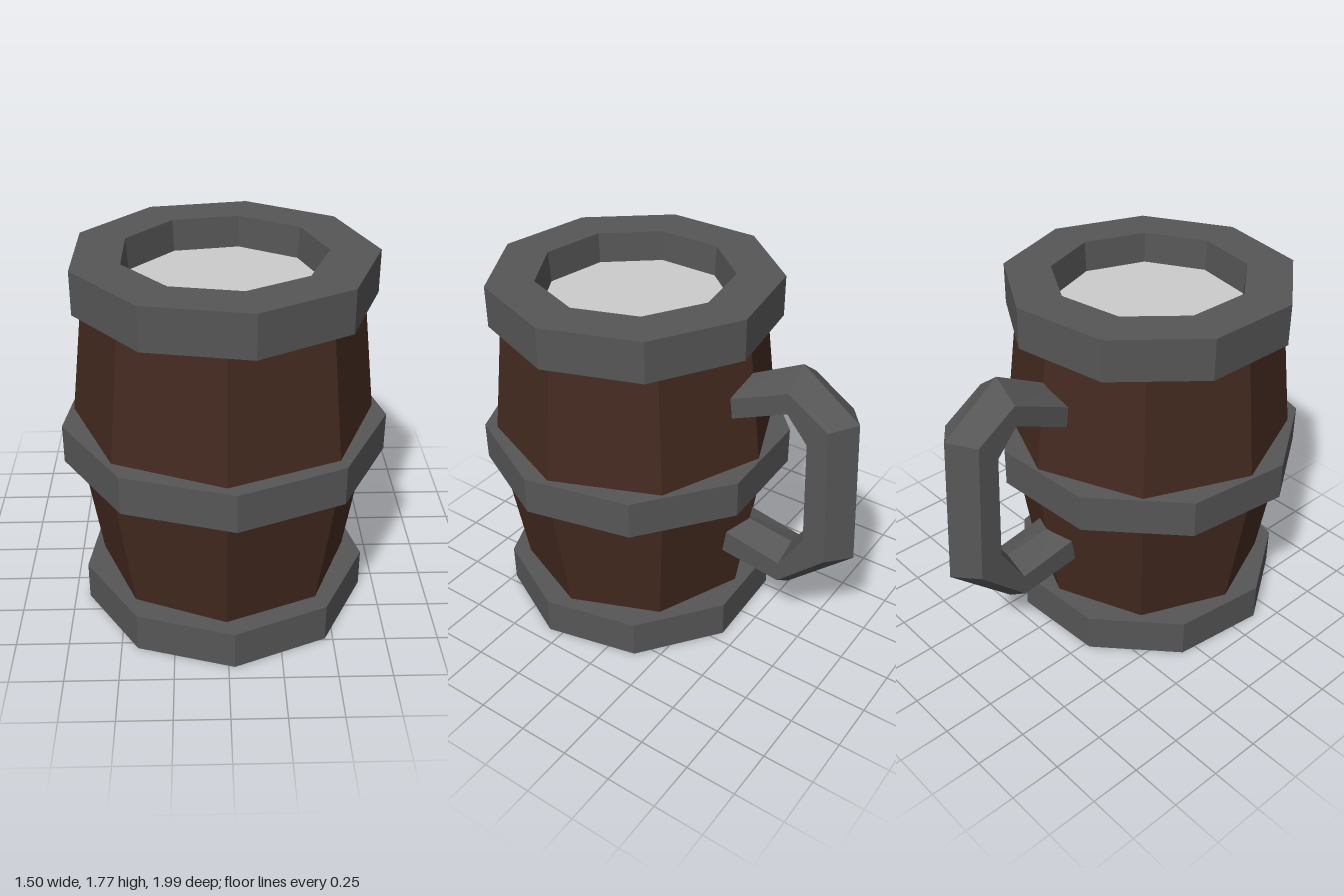
import * as THREE from 'three';

const CX = -0.008, CZ = 0.237; // axis of the tankard body
const deg = THREE.MathUtils.degToRad;

function material(color) {
  return new THREE.MeshStandardMaterial({ color, flatShading: true });
}

// Loft of six-sided sections; each section lists [z, y] of the outer ridge,
// outer side edge, inner side edge and inner ridge.
function handleGeometry(sections, halfWidth) {
  const rings = sections.map(([o, so, si, n]) =>
    [[0, o], [1, so], [1, si], [0, n], [-1, si], [-1, so]]
      .map(([s, [z, y]]) => [s * halfWidth, y, z]));
  const pos = [];
  const tri = (a, b, c) => pos.push(...a, ...b, ...c);
  for (let i = 0; i < rings.length - 1; i++) {
    for (let j = 0; j < 6; j++) {
      const k = (j + 1) % 6, p = rings[i], q = rings[i + 1];
      tri(p[j], p[k], q[j]);
      tri(p[k], q[k], q[j]);
    }
  }
  // end caps
  const first = rings[0], last = rings[rings.length - 1];
  for (let j = 1; j < 5; j++) {
    tri(first[0], first[j + 1], first[j]);
    tri(last[0], last[j], last[j + 1]);
  }
  const g = new THREE.BufferGeometry();
  g.setAttribute('position', new THREE.Float32BufferAttribute(pos, 3));
  g.computeVertexNormals();
  return g;
}

export function createModel() {
  const group = new THREE.Group();
  const iron = material(0x565656);
  const wood = material(0x432a1f);
  const foamMat = material(0xcccccc);

  const add = (name, geometry, mat, x = CX, y = 0, z = CZ) => {
    const mesh = new THREE.Mesh(geometry, mat);
    mesh.name = name;
    mesh.position.set(x, y, z);
    group.add(mesh);
  };
  const disc = (name, r, y0, y1, phase, mat) =>
    add(name, new THREE.CylinderGeometry(r, r, y1 - y0, 9, 1, false, deg(phase)),
      mat, CX, (y0 + y1) / 2);
  const turned = (name, profile, sides, phase, mat) =>
    add(name, new THREE.LatheGeometry(profile.map(p => new THREE.Vector2(...p)),
      sides, deg(phase)), mat);

  // eight-sided bulging wooden barrel
  turned('barrel', [[0.585, 0.1], [0.6, 0.19], [0.713, 0.9], [0.636, 1.57], [0.633, 1.6]],
    8, 0, wood);

  // iron hoops
  disc('baseHoop', 0.69, 0, 0.19, 3, iron);
  disc('middleHoop', 0.762, 0.805, 0.99, 3, iron);

  // rim with the drinking opening
  turned('rim', [[0.455, 1.57], [0.694, 1.57], [0.694, 1.77], [0.468, 1.77], [0.455, 1.57]],
    9, 9.5, iron);

  // drink surface inside the rim
  disc('drinkSurface', 0.46, 1.58, 1.62, 9.5, foamMat);

  // handle at the back, from upper to lower end
  add('handle', handleGeometry([
    [[-0.32, 1.39], [-0.32, 1.325], [-0.32, 1.22], [-0.32, 1.18]],
    [[-0.665, 1.566], [-0.665, 1.475], [-0.665, 1.373], [-0.665, 1.325]],
    [[-0.955, 1.357], [-0.865, 1.345], [-0.77, 1.25], [-0.75, 1.222]],
    [[-0.997, 0.638], [-0.905, 0.65], [-0.79, 0.73], [-0.772, 0.745]],
    [[-0.67, 0.333], [-0.67, 0.424], [-0.67, 0.53], [-0.67, 0.585]],
    [[-0.32, 0.38], [-0.32, 0.47], [-0.32, 0.595], [-0.32, 0.635]],
  ], 0.123), iron, CX, 0, 0);

  return group;
}
